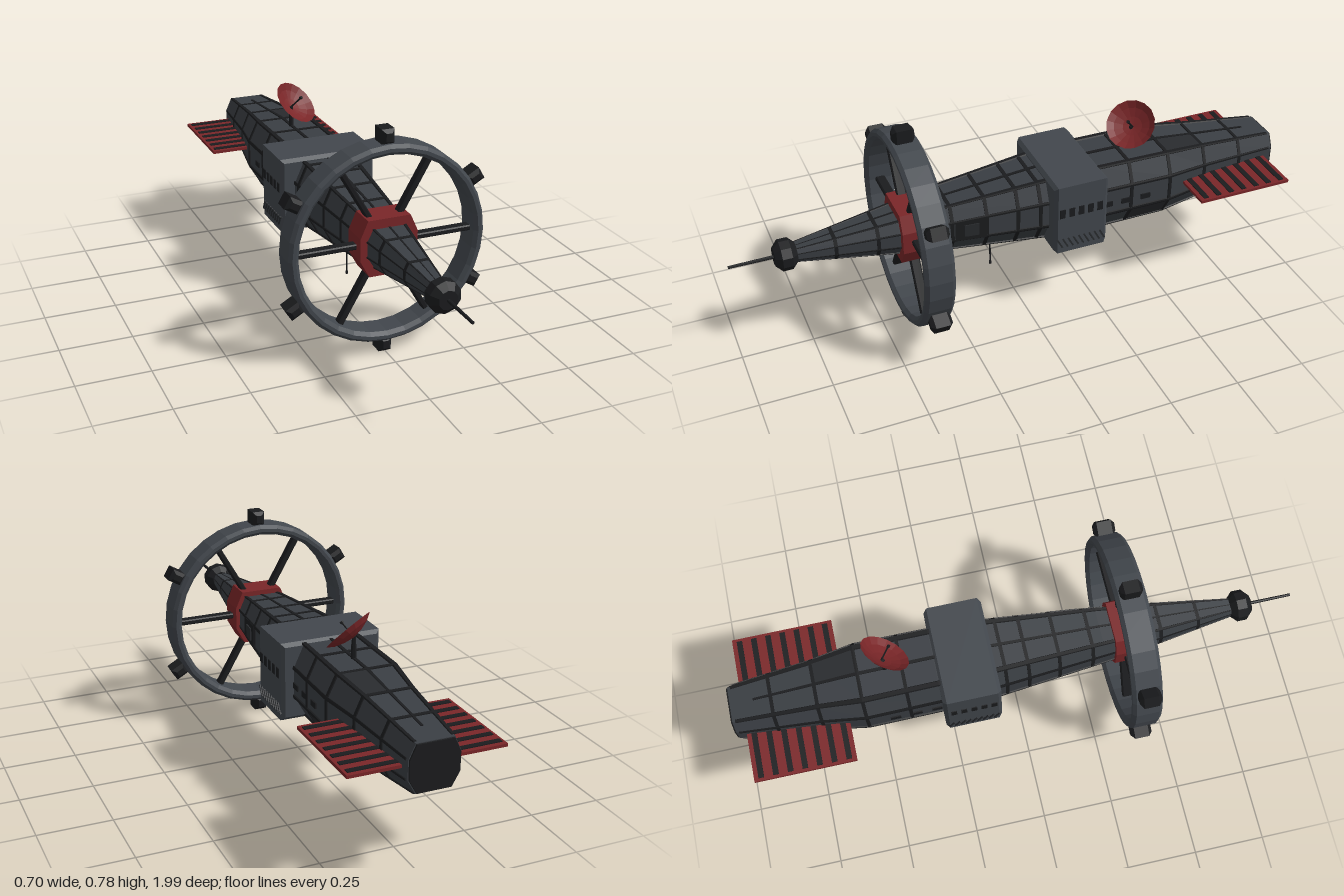
import * as THREE from 'three';

const CY = 0.39; // height of the ship's long axis
const paint = (color) => new THREE.MeshStandardMaterial({ color, flatShading: true });

// hull stations: z, half width, half height
const STATIONS = [
  [-0.98, 0.085, 0.08], [-0.69, 0.112, 0.108], [-0.54, 0.135, 0.123], [-0.28, 0.133, 0.126],
  [-0.08, 0.125, 0.119], [0.3, 0.09, 0.086], [0.44, 0.076, 0.066], [0.79, 0.028, 0.025],
];
// unit cross-section, counter-clockwise seen from the front
const SECTION = [[1, -0.4], [1, 0.4], [0.74, 1], [-0.74, 1], [-1, 0.4], [-1, -0.4], [-0.68, -1], [0.68, -1]];

function hullSize(z) {
  let i = 0;
  while (i < STATIONS.length - 2 && z > STATIONS[i + 1][0]) i++;
  const [a, b] = [STATIONS[i], STATIONS[i + 1]];
  const t = (z - a[0]) / (b[0] - a[0]);
  return [a[1] + (b[1] - a[1]) * t, a[2] + (b[2] - a[2]) * t];
}

// closed solid through equal loops of [x, y, z], back to front
function loft(loops) {
  const n = loops[0].length, pos = [];
  const tri = (a, b, c) => pos.push(...a, ...b, ...c);
  for (let i = 0; i < loops.length - 1; i++) {
    for (let j = 0; j < n; j++) {
      const k = (j + 1) % n, p = loops[i], q = loops[i + 1];
      tri(p[j], p[k], q[k]);
      tri(p[j], q[k], q[j]);
    }
  }
  const back = loops[0], front = loops[loops.length - 1];
  for (let j = 1; j < n - 1; j++) {
    tri(back[0], back[j + 1], back[j]);
    tri(front[0], front[j], front[j + 1]);
  }
  const g = new THREE.BufferGeometry();
  g.setAttribute('position', new THREE.Float32BufferAttribute(pos, 3));
  g.computeVertexNormals();
  return g;
}

// loft of a unit outline that follows the hull between two z values
function alongHull(z0, z1, outline) {
  const zs = [z0, ...STATIONS.map((s) => s[0]).filter((z) => z > z0 && z < z1), z1];
  return loft(zs.map((z) => {
    const [w, h] = hullSize(z);
    return outline.map(([x, y]) => [x * w, CY + y * h, z]);
  }));
}

// thin raised plate lying on the hull along a run of unit points
function plate(z0, z1, points, out = 1.035) {
  const scaled = (k) => points.map(([x, y]) => [x * k, y * k]);
  return alongHull(z0, z1, [...scaled(out), ...scaled(0.93).reverse()]);
}

// box with chamfered edges
function chamferBox(w, h, d, c) {
  const s = new THREE.Shape();
  const x = w / 2 - c, y = h / 2 - c;
  s.moveTo(-x, -y).lineTo(x, -y).lineTo(x, y).lineTo(-x, y).closePath();
  const g = new THREE.ExtrudeGeometry(s, { depth: d - 2 * c, bevelEnabled: true, bevelSegments: 1, bevelSize: c, bevelThickness: c });
  return g.translate(0, 0, -d / 2 + c);
}

export function createModel() {
  const model = new THREE.Group();
  const hullGrey = paint(0x3a3e43), blockGrey = paint(0x42474d), dark = paint(0x1b1c1e), red = paint(0x7a2628);
  const panelGrey = paint(0x292b2e);
  const add = (name, geo, mat, x = 0, y = 0, z = 0, parent = model) => {
    const m = new THREE.Mesh(geo, mat);
    m.name = name;
    m.position.set(x, y, z);
    parent.add(m);
    return m;
  };

  // hull with seams along its edges, centre lines and ring seams
  add('hull', alongHull(-0.98, 0.79, SECTION), hullGrey);
  SECTION.forEach((p, i) => {
    const toward = (q) => [p[0] + (q[0] - p[0]) * 0.07, p[1] + (q[1] - p[1]) * 0.07];
    const run = [toward(SECTION[(i + 7) % 8]), p, toward(SECTION[(i + 1) % 8])];
    add('edgeSeam', plate(-0.97, 0.78, run), dark);
  });
  for (const s of [1, -1]) add('centreSeam', plate(-0.9, 0.78, [[0.04 * s, s], [-0.04 * s, s]]), dark);
  for (const z of [-0.84, -0.69, -0.54, -0.39, -0.05, 0.03, 0.14, 0.26, 0.51, 0.65]) {
    add('ringSeam', alongHull(z - 0.006, z + 0.006, SECTION.map(([x, y]) => [x * 1.03, y * 1.03])), dark);
  }
  add('sternPlate', alongHull(-0.985, -0.975, SECTION.map(([x, y]) => [x * 0.97, y * 0.97])), dark);

  // darker panels, hull windows and side hatch
  add('roofPanel', plate(-0.69, -0.54, [[0.74, 1], [0, 1]], 1.02), panelGrey);
  add('lowerPanel', plate(-0.54, -0.39, [[0.68, -1], [1, -0.4]], 1.02), panelGrey);
  for (const s of [1, -1]) {
    for (const z of [-0.3, -0.37, -0.445]) {
      const ys = s > 0 ? [-0.15, 0] : [0, -0.15];
      add('hullWindow', plate(z - 0.018, z + 0.018, ys.map((y) => [s, y])), dark);
    }
  }
  add('hatchFrame', plate(0.14, 0.25, [[1, -0.4], [1, 0.4]], 1.05), dark);
  add('hatchDoor', plate(0.17, 0.22, [[1, -0.22], [1, 0.22]], 1.1), panelGrey);

  // middle block with windows and slanted vents on both sides
  add('cargoBlock', chamferBox(0.352, 0.27, 0.2, 0.012), blockGrey, 0, CY, -0.18);
  for (const s of [1, -1]) {
    for (let i = 0; i < 5; i++) {
      add('blockWindow', new THREE.BoxGeometry(0.012, 0.034, 0.02), dark, s * 0.173, 0.418, -0.108 - i * 0.035);
    }
    for (let i = 0; i < 9; i++) {
      const vent = add('vent', new THREE.BoxGeometry(0.01, 0.04, 0.006), panelGrey, s * 0.175, 0.295, -0.1 - i * 0.02);
      vent.rotation.x = 0.5;
    }
  }

  // rotating ring: collar, rim, spokes and pods
  const ring = new THREE.Group();
  ring.name = 'habitatRing';
  ring.position.set(0, CY, 0.388);
  model.add(ring);
  const collarLoop = (z) => SECTION.map(([x, y]) => [x * 0.1, y * 0.098, z]);
  add('collar', loft([collarLoop(-0.048), collarLoop(0.048)]), red, 0, 0, 0, ring);
  const rimProfile = [
    [0.308, -0.04], [0.32, -0.052], [0.332, -0.052], [0.343, -0.04],
    [0.343, 0.04], [0.332, 0.052], [0.32, 0.052], [0.308, 0.04], [0.308, -0.04],
  ].map(([r, y]) => new THREE.Vector2(r, y));
  add('rim', new THREE.LatheGeometry(rimProfile, 32).rotateX(Math.PI / 2), blockGrey, 0, 0, 0, ring);
  for (let i = 0; i < 6; i++) {
    const arm = new THREE.Group();
    arm.name = 'ringArm';
    arm.rotation.z = (i * Math.PI) / 3;
    ring.add(arm);
    add('spoke', chamferBox(0.25, 0.019, 0.034, 0.004), dark, 0.19, 0, 0, arm);
    const mount = new THREE.Group();
    mount.name = 'podMount';
    mount.rotation.z = Math.PI / 6;
    arm.add(mount);
    add('pod', chamferBox(0.052, 0.044, 0.075, 0.012), dark, 0.363, 0, 0, mount);
  }

  // nose ball and spike
  const nose = [[0, -0.038], [0.034, -0.038], [0.054, -0.018], [0.054, 0.016], [0.032, 0.037], [0, 0.037]];
  add('nose', new THREE.LatheGeometry(nose.map(([r, y]) => new THREE.Vector2(r, y)), 10).rotateX(Math.PI / 2), dark, 0, CY, 0.813);
  add('noseSpike', new THREE.CylinderGeometry(0.005, 0.006, 0.16, 8).rotateX(Math.PI / 2), dark, 0, CY, 0.92);

  // dish on its mast
  add('mastBase', new THREE.CylinderGeometry(0.009, 0.009, 0.06, 8), dark, 0, 0.53, -0.445);
  add('mast', new THREE.CylinderGeometry(0.007, 0.007, 0.09, 8), dark, 0, 0.545, -0.445);
  const dish = new THREE.Group();
  dish.name = 'dish';
  dish.position.set(0.002, 0.587, -0.45);
  dish.quaternion.setFromUnitVectors(new THREE.Vector3(0, 1, 0), new THREE.Vector3(0.45, 0.7, 0.56).normalize());
  model.add(dish);
  const bowl = [[0.002, 0], [0.035, 0.005], [0.065, 0.015], [0.088, 0.03]];
  const bowlPaint = red.clone();
  bowlPaint.side = THREE.DoubleSide;
  add('bowl', new THREE.LatheGeometry(bowl.map(([r, y]) => new THREE.Vector2(r, y)), 16), bowlPaint, 0, 0, 0, dish);
  add('feedRod', new THREE.CylinderGeometry(0.003, 0.003, 0.06, 6), dark, 0, 0.03, 0, dish);
  add('feedTip', new THREE.CylinderGeometry(0.006, 0.006, 0.008, 6), dark, 0, 0.06, 0, dish);

  // belly antenna
  add('bellyAntenna', new THREE.CylinderGeometry(0.003, 0.003, 0.16, 6), dark, 0, 0.225, 0.09);
  add('bellyAntennaTip', new THREE.CylinderGeometry(0.005, 0.005, 0.01, 6), dark, 0, 0.145, 0.09);

  // radiator fins with dark bars
  for (const s of [1, -1]) {
    add('radiator', new THREE.BoxGeometry(0.2, 0.01, 0.35), red, s * 0.16, CY, -0.775);
    for (let i = 0; i < 7; i++) {
      add('radiatorBar', new THREE.BoxGeometry(0.19, 0.016, 0.019), dark, s * 0.155, CY, -0.925 + i * 0.05);
    }
  }
  return model;
}
